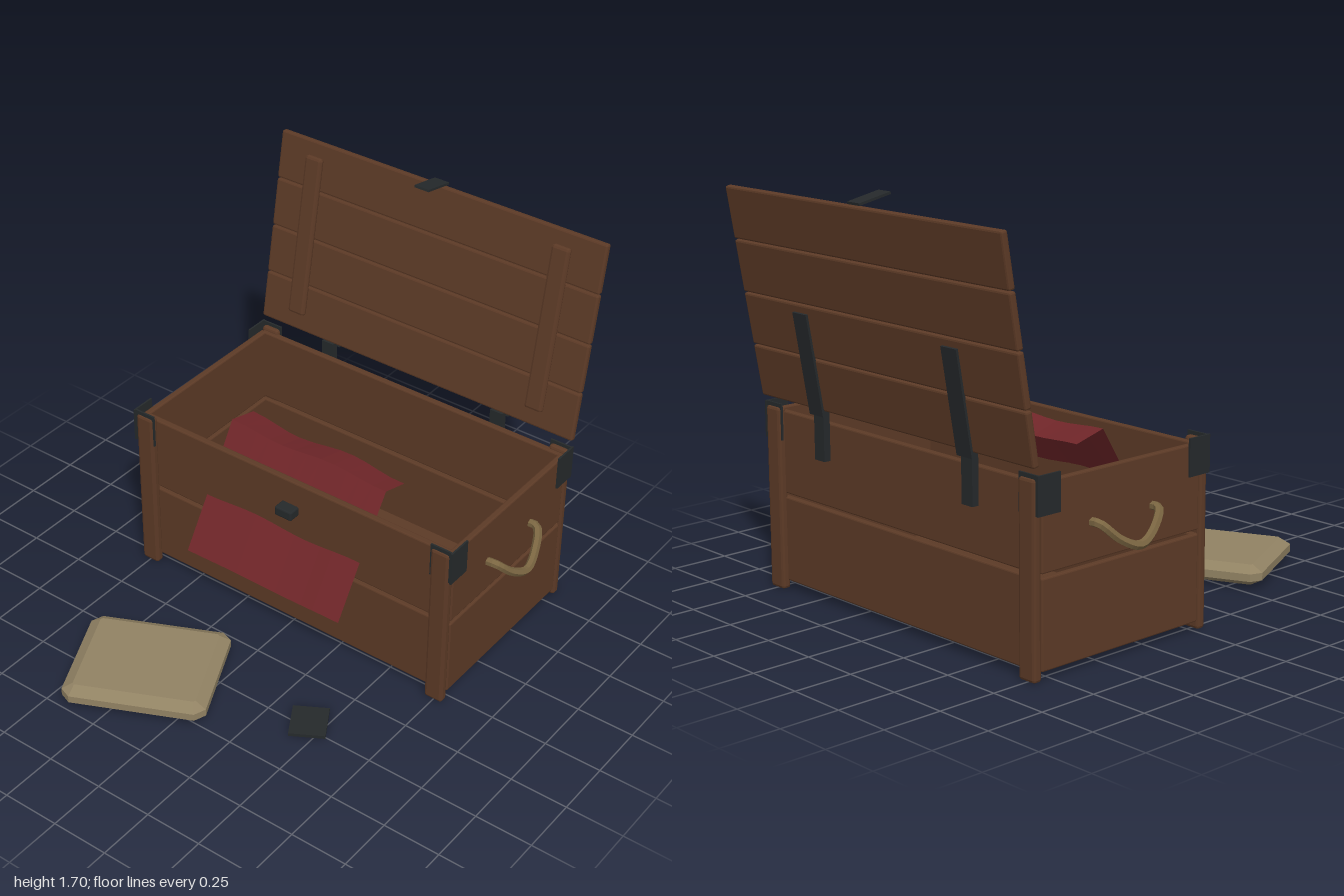
import * as THREE from 'three';
import { RoundedBoxGeometry } from 'three/addons/geometries/RoundedBoxGeometry.js';

const flat = (name, color, extra = {}) => {
  const m = new THREE.MeshStandardMaterial({ color, flatShading: true, ...extra });
  m.name = name;
  return m;
};

export function createModel() {
  const root = new THREE.Group();
  root.name = 'openChest';
  const wood = flat('brown wood', 0x5c3a26);
  const metal = flat('dark iron', 0x25292b);
  const cloth = flat('red cloth', 0x702629, { side: THREE.DoubleSide });
  const linen = flat('tan linen', 0x918263);
  const rope = flat('rope', 0x7a6541);

  const add = (parent, name, geo, mat, x = 0, y = 0, z = 0) => {
    const mesh = new THREE.Mesh(geo, mat);
    mesh.name = name;
    mesh.position.set(x, y, z);
    parent.add(mesh);
    return mesh;
  };
  // box given by its extents; wooden ones get a small bevel
  const box = (parent, name, mat, [x0, x1], [y0, y1], [z0, z1], bevel = 0) => {
    const s = [x1 - x0, y1 - y0, z1 - z0];
    const geo = bevel ? new RoundedBoxGeometry(...s, 1, bevel) : new THREE.BoxGeometry(...s);
    return add(parent, name, geo, mat, (x0 + x1) / 2, (y0 + y1) / 2, (z0 + z1) / 2);
  };

  // Chest body: two boards per wall with a gap between them
  const body = new THREE.Group();
  body.name = 'body';
  root.add(body);
  for (const rows of [[0.04, 0.392], [0.408, 0.75]]) {
    box(body, 'frontBoard', wood, [-0.78, 0.78], rows, [-0.005, 0.025], 0.006);
    box(body, 'backBoard', wood, [-0.78, 0.78], rows, [-0.815, -0.785], 0.006);
    for (const s of [-1, 1]) {
      box(body, 'sideBoard', wood, s > 0 ? [0.76, 0.788] : [-0.788, -0.76], rows, [-0.8, 0.015], 0.006);
    }
  }
  box(body, 'floor', wood, [-0.77, 0.77], [0.04, 0.065], [-0.8, 0.01]);

  // Corner posts, iron corners and rope handles, mirrored
  for (const s of [-1, 1]) {
    const span = (a, b) => (s > 0 ? [a, b] : [-b, -a]);
    box(body, 'frontPost', wood, span(0.705, 0.79), [0.005, 0.765], [0.018, 0.058], 0.012);
    box(body, 'backPost', wood, span(0.705, 0.79), [0.005, 0.765], [-0.842, -0.802], 0.012);
    for (const [z0, z1, zf] of [[-0.055, 0.055, 0.042], [-0.835, -0.725, -0.832]]) {
      box(body, 'cornerSidePlate', metal, span(0.797, 0.805), [0.63, 0.78], [z0, z1]);
      box(body, 'cornerFacePlate', metal, span(0.7, 0.805), [0.63, 0.78], [zf, zf + 0.008]);
    }
    const path = [
      [0.77, 0.553, -0.238], [0.825, 0.553, -0.243], [0.862, 0.49, -0.31], [0.88, 0.455, -0.395],
      [0.862, 0.49, -0.48], [0.825, 0.553, -0.547], [0.77, 0.553, -0.552],
    ].map(([x, y, z]) => new THREE.Vector3(s * x, y, z));
    add(body, 'handle', new THREE.TubeGeometry(new THREE.CatmullRomCurve3(path), 24, 0.018, 6), rope);
  }
  box(body, 'lockPlate', metal, [-0.042, 0.042], [0.595, 0.637], [0.02, 0.078], 0.006);

  // Lid, built upright from its hinge edge and leaned back
  const lid = new THREE.Group();
  lid.name = 'lid';
  lid.position.set(0, 0.808, -0.835);
  lid.rotation.x = -0.172;
  root.add(lid);
  for (let i = 0; i < 4; i++) {
    const y = i * 0.2185;
    box(lid, 'lidBoard', wood, [-0.8, 0.8], [y, y + 0.214], [-0.015, 0.015], 0.008);
  }
  for (const s of [-1, 1]) {
    box(lid, 'batten', wood, [s * 0.61 - 0.042, s * 0.61 + 0.042], [0.08, 0.808], [0.012, 0.042], 0.012);
    box(lid, 'hingeStrap', metal, [s * 0.437 - 0.042, s * 0.437 + 0.042], [-0.02, 0.4], [-0.025, -0.013]);
    box(body, 'hingeLeaf', metal, [s * 0.437 - 0.03, s * 0.437 + 0.03], [0.6, 0.81], [-0.845, -0.815]);
  }
  const hasp = box(root, 'hasp', metal, [-0.035, 0.035], [1.684, 1.694], [-0.998, -0.848]);
  hasp.rotation.x = -0.2;

  // Cloth: a rippled sheet folded over a ridge, its front hanging out of the chest
  const profile = [[-0.285, 0.725], [-0.15, 0.762], [0.01, 0.515], [0.165, 0.275]];
  const cols = 12;
  const pos = [];
  const idx = [];
  profile.forEach(([z, y], r) => {
    for (let c = 0; c <= cols; c++) {
      const t = c / cols;
      const ripple = Math.cos(t * Math.PI * 3.1) * 0.008;
      pos.push(-0.44 + 0.79 * t, y + (r < 2 ? ripple : -ripple * 0.5), z - ripple * (r === 0 ? 1 : 0.3));
      if (r && c) {
        const b = r * (cols + 1) + c;
        const a = b - cols - 1;
        idx.push(a - 1, b - 1, a, a, b - 1, b);
      }
    }
  });
  const sheet = new THREE.BufferGeometry();
  sheet.setAttribute('position', new THREE.Float32BufferAttribute(pos, 3));
  sheet.setIndex(idx);
  sheet.computeVertexNormals();
  add(root, 'cloth', sheet, cloth);

  // Cushion: chamfered rings stacked from bottom to top
  const rings = [[0.012, 0.05, 0.008], [0.04, 0, 0.04], [0.072, 0, 0.04], [0.1, 0.045, 0.008]];
  const cp = [];
  const ci = [];
  rings.forEach(([y, inset, k], r) => {
    const w = 0.3 - inset;
    const d = 0.255 - inset;
    [[w, d - k], [w - k, d], [k - w, d], [-w, d - k], [-w, k - d], [k - w, -d], [w - k, -d], [w, k - d]]
      .forEach(([x, z], i) => {
        cp.push(x, y, z);
        if (!r) return;
        const a = (r - 1) * 8 + i;
        const b = (r - 1) * 8 + (i + 1) % 8;
        ci.push(a, b, a + 8, b, b + 8, a + 8);
      });
  });
  for (let i = 1; i < 7; i++) {
    ci.push(0, i + 1, i, 24, 24 + i, 25 + i);
  }
  // ring order runs clockwise seen from above, so turn every triangle outward
  for (let i = 0; i < ci.length; i += 3) {
    const v = [0, 1, 2].map((j) => new THREE.Vector3().fromArray(cp, ci[i + j] * 3));
    const n = v[1].clone().sub(v[0]).cross(v[2].clone().sub(v[0]));
    const mid = v[0].clone().add(v[1]).add(v[2]).divideScalar(3).sub(new THREE.Vector3(0, 0.056, 0));
    if (n.dot(mid) < 0) [ci[i + 1], ci[i + 2]] = [ci[i + 2], ci[i + 1]];
  }
  const cushion = new THREE.BufferGeometry();
  cushion.setAttribute('position', new THREE.Float32BufferAttribute(cp, 3));
  cushion.setIndex(ci);
  cushion.computeVertexNormals();
  add(root, 'cushion', cushion, linen, -0.26, 0, 0.65).rotation.y = 0.44;

  // Loose iron plate on the ground
  const plate = add(root, 'loosePlate', new THREE.BoxGeometry(0.15, 0.014, 0.165), metal, 0.435, 0.012, 0.473);
  plate.rotation.y = 0.53;

  return root;
}
